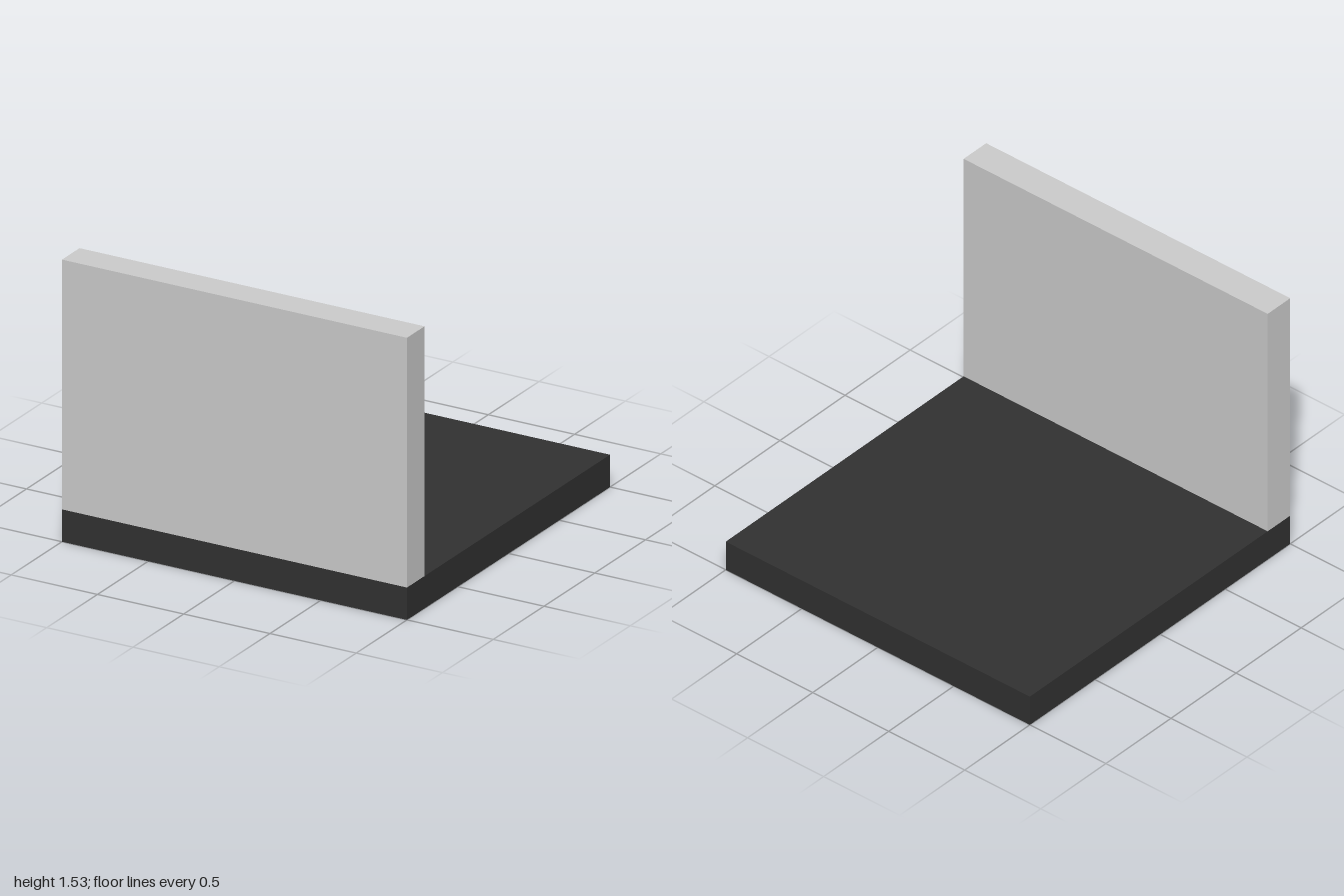
import * as THREE from 'three';

const SIZE = 2;          // width and depth of the slab
const BASE_H = 0.175;    // slab thickness
const TOP = 1.527;       // overall height
const WALL_T = 0.173;    // wall thickness

function box(name, w, h, d, y, z, color) {
  const mesh = new THREE.Mesh(
    new THREE.BoxGeometry(w, h, d),
    new THREE.MeshStandardMaterial({ color })
  );
  mesh.name = name;
  mesh.position.set(0, y + h / 2, z);
  return mesh;
}

export function createModel() {
  const model = new THREE.Group();
  model.name = 'floorWithWall';

  // Dark square floor slab
  model.add(box('floor', SIZE, BASE_H, SIZE, 0, 0, 0x313131));

  // Upright wall standing on the front edge of the slab
  model.add(box('wall', SIZE, TOP - BASE_H, WALL_T, BASE_H, (SIZE - WALL_T) / 2, 0xcccccc));

  return model;
}
